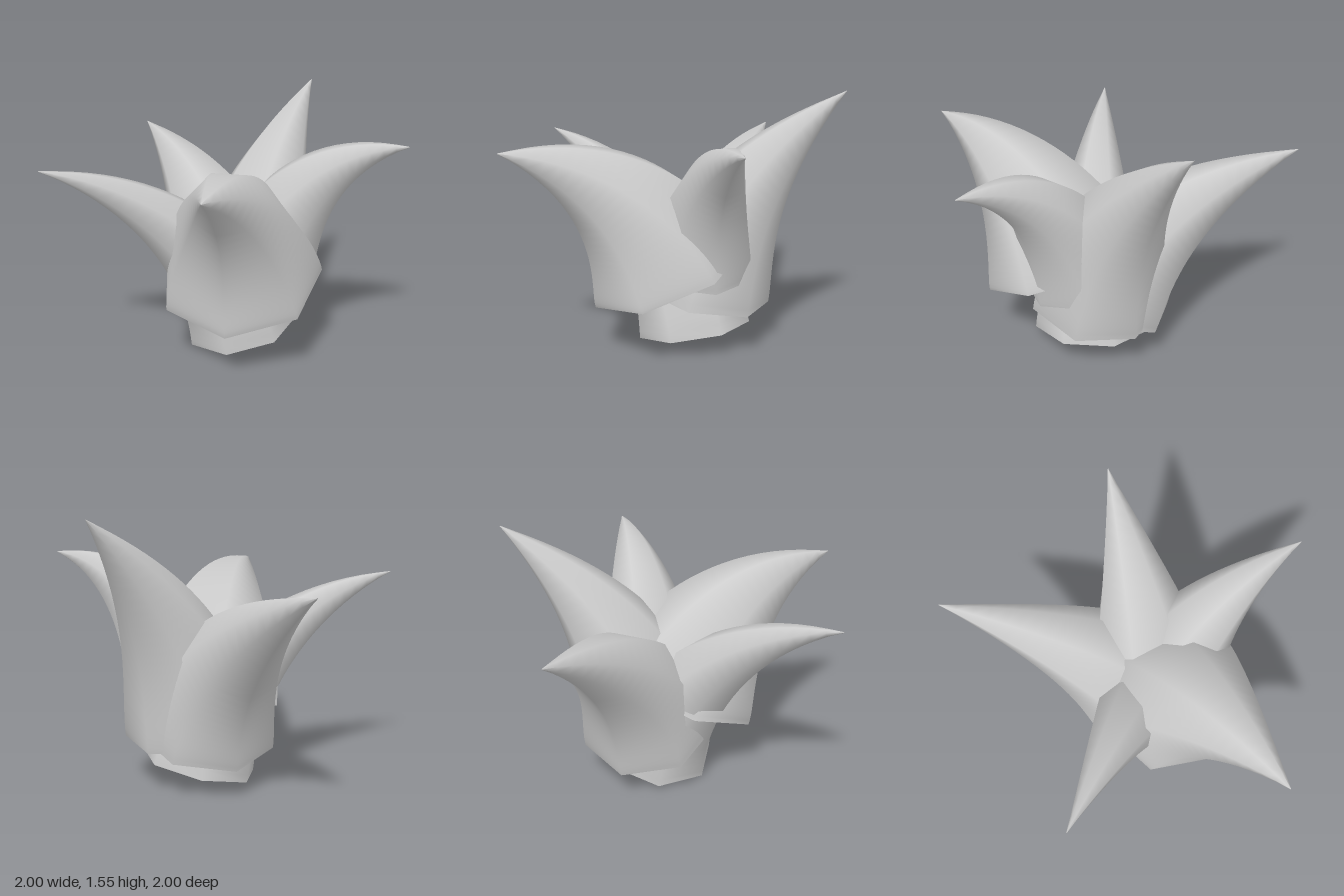
import * as THREE from 'three';

const SIDES = 7;
const STEPS = 24;

// Curved hollow spike: a seven-sided ring swept along a bezier, shrinking to a point.
// pts: base centre, two handles, tip. corner: direction of the first ring corner.
// bulge: how long the spike stays wide before it tapers.
function spikeGeometry({ pts, radius, corner, bulge }) {
  const curve = new THREE.CubicBezierCurve3(...pts.map((p) => new THREE.Vector3(...p)));
  const side = new THREE.Vector3(...corner);
  const pos = [];
  const index = [];
  for (let i = 0; i <= STEPS; i++) {
    const t = i / STEPS;
    const centre = curve.getPoint(t);
    const dir = curve.getTangent(t);
    side.addScaledVector(dir, -side.dot(dir)).normalize(); // carry the frame along without twist
    const across = new THREE.Vector3().crossVectors(dir, side);
    const r = Math.max(radius * (1 - Math.pow(t, bulge)), 0.002);
    for (let j = 0; j < SIDES; j++) {
      const a = (j / SIDES) * Math.PI * 2;
      const p = centre.clone()
        .addScaledVector(side, r * Math.cos(a))
        .addScaledVector(across, r * Math.sin(a));
      pos.push(p.x, p.y, p.z);
      if (i < STEPS) {
        const k = i * SIDES;
        const n = (j + 1) % SIDES;
        index.push(k + j, k + n, k + SIDES + j, k + n, k + SIDES + n, k + SIDES + j);
      }
    }
  }
  const geo = new THREE.BufferGeometry();
  geo.setAttribute('position', new THREE.Float32BufferAttribute(pos, 3));
  geo.setIndex(index);
  geo.computeVertexNormals();
  return geo;
}

export function createModel() {
  const group = new THREE.Group();
  group.name = 'spikyPlant';
  const grey = new THREE.MeshStandardMaterial({ color: 0xcccccc, side: THREE.DoubleSide });
  grey.name = 'light grey';

  const spikes = [
    // tall rear spike
    { name: 'rearSpike', radius: 0.41, bulge: 1.6, corner: [0.36, -0.04, -0.2],
      pts: [[0.02, 0.33, -0.195], [0.04, 0.72, -0.26], [0.08, 1.13, -0.455], [0.17, 1.565, -1]] },
    // broad front spike
    { name: 'frontSpike', radius: 0.5, bulge: 1.68, corner: [0.09, -0.2, 0.47],
      pts: [[0.07, 0.497, 0.025], [0.08, 0.68, 0.1], [0.14, 1.14, 0.32], [0.26, 1.265, 1]] },
    { name: 'rearRightSpike', radius: 0.41, bulge: 1.7, corner: [-0.325, -0.12, -0.22],
      pts: [[-0.06, 0.315, -0.2], [-0.14, 0.6, -0.26], [-0.37, 0.97, -0.4], [-1, 1.22, -0.83]] },
    { name: 'leftSpike', radius: 0.32, bulge: 1.7, corner: [1, 0, -0.1],
      pts: [[0.15, 0.52, -0.155], [0.2, 0.78, -0.155], [0.41, 1.26, -0.17], [1, 1.345, -0.21]] },
    // slim spike whose open base reaches the ground as the stalk
    { name: 'frontRightSpikeWithStalk', radius: 0.35, bulge: 1.4, corner: [-0.234, -0.09, 0.23],
      pts: [[0.014, 0.09, -0.14], [-0.055, 0.5, -0.085], [-0.34, 1.04, 0.2], [-0.88, 1.23, 0.68]] },
  ];
  for (const s of spikes) {
    const mesh = new THREE.Mesh(spikeGeometry(s), grey);
    mesh.name = s.name;
    group.add(mesh);
  }
  return group;
}
